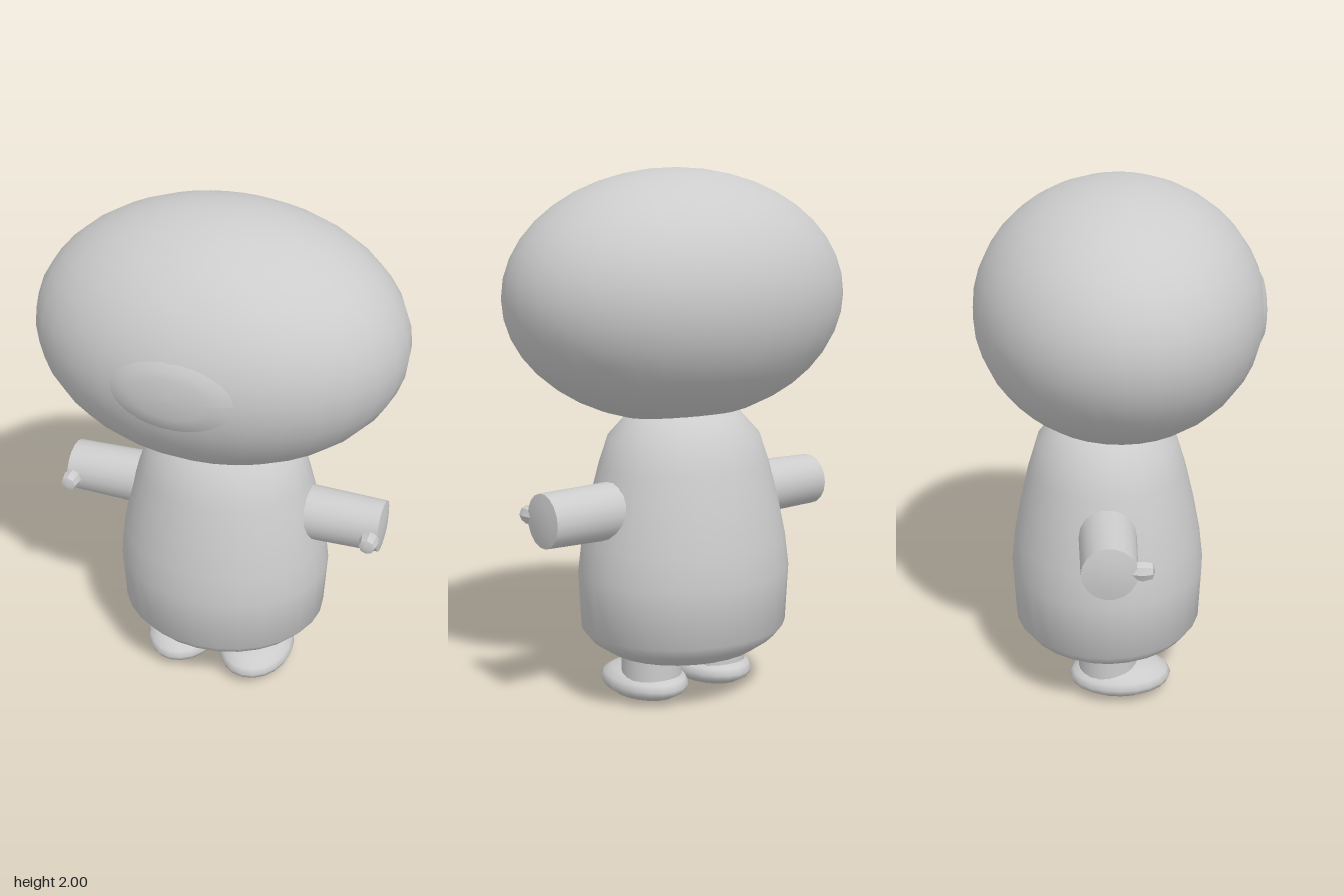
import * as THREE from 'three';
import { toCreasedNormals } from 'three/addons/utils/BufferGeometryUtils.js';

const HEAD = { y: 1.53, rx: 0.69, ry: 0.47, rz: 0.533 };

export function createModel() {
  const model = new THREE.Group();
  model.name = 'bigHeadedFigure';
  const grey = new THREE.MeshStandardMaterial({ color: 0xcccccc });
  grey.name = 'lightGrey';

  const add = (name, geometry, x, y, z) => {
    const mesh = new THREE.Mesh(geometry, grey);
    mesh.name = name;
    mesh.position.set(x, y, z);
    model.add(mesh);
    return mesh;
  };
  const lathe = (points, segments, crease) => toCreasedNormals(
    new THREE.LatheGeometry(points.map(([r, y]) => new THREE.Vector2(r, y)), segments), crease);

  // Head: wide ellipsoid
  add('head', new THREE.SphereGeometry(1, 32, 20), 0, HEAD.y, 0)
    .scale.set(HEAD.rx, HEAD.ry, HEAD.rz);

  // Muzzle: thin oval lying on the curve of the face, with a short rim
  const muzzle = new THREE.RingGeometry(0.001, 1, 32, 5);
  const p = muzzle.attributes.position;
  for (let i = 0; i < p.count; i++) {
    const r = Math.hypot(p.getX(i), p.getY(i));
    const x = p.getX(i) * 0.22, y = p.getY(i) * 0.13;
    const z = HEAD.rz * Math.sqrt(1 - (x / HEAD.rx) ** 2 - (y / HEAD.ry) ** 2);
    p.setXYZ(i, x, y, z + (r > 0.99 ? -0.002 : 0.005));
  }
  muzzle.computeVertexNormals();
  add('muzzle', muzzle, 0, HEAD.y, 0);

  // Body: pear-shaped and slightly flattened front to back
  const body = lathe([
    [0, 0.16], [0.12, 0.166], [0.3, 0.19], [0.37, 0.235], [0.408, 0.28], [0.42, 0.5],
    [0.405, 0.62], [0.375, 0.76], [0.338, 0.9], [0.3, 1.01], [0.225, 1.09], [0.12, 1.14], [0, 1.15],
  ], 28, 0.9);
  add('body', body, 0, 0, -0.045).scale.z = 0.89;

  for (const [label, side] of [['left', 1], ['right', -1]]) {
    // Arm: stubby cylinder with a slightly domed end
    const arm = lathe([[0.11, 0], [0.1, 0.44], [0.06, 0.447], [0, 0.45]], 18, 0.7);
    add(label + 'Arm', arm, side * 0.195, 0.76, -0.05).rotation.z = -side * Math.PI / 2;

    // Thumb: small faceted stub pointing forward
    const thumb = lathe([[0.025, 0], [0.038, 0.055], [0.03, 0.09], [0, 0.1]], 8, 0.7);
    add(label + 'Thumb', thumb, side * 0.61, 0.76, 0.01).rotation.x = Math.PI / 2;

    // Leg and flattened foot
    add(label + 'Leg', new THREE.CylinderGeometry(0.115, 0.115, 0.17, 20), side * 0.157, 0.165, -0.047);
    const foot = lathe([
      [0, 0], [0.4, 0.006], [0.75, 0.023], [0.94, 0.045], [1, 0.068],
      [0.93, 0.09], [0.75, 0.111], [0.4, 0.127], [0, 0.132],
    ], 20, 1.2);
    foot.scale(0.15, 1, 0.2);
    foot.computeVertexNormals();
    add(label + 'Foot', toCreasedNormals(foot, 1.2), side * 0.157, 0, 0);
  }
  return model;
}
